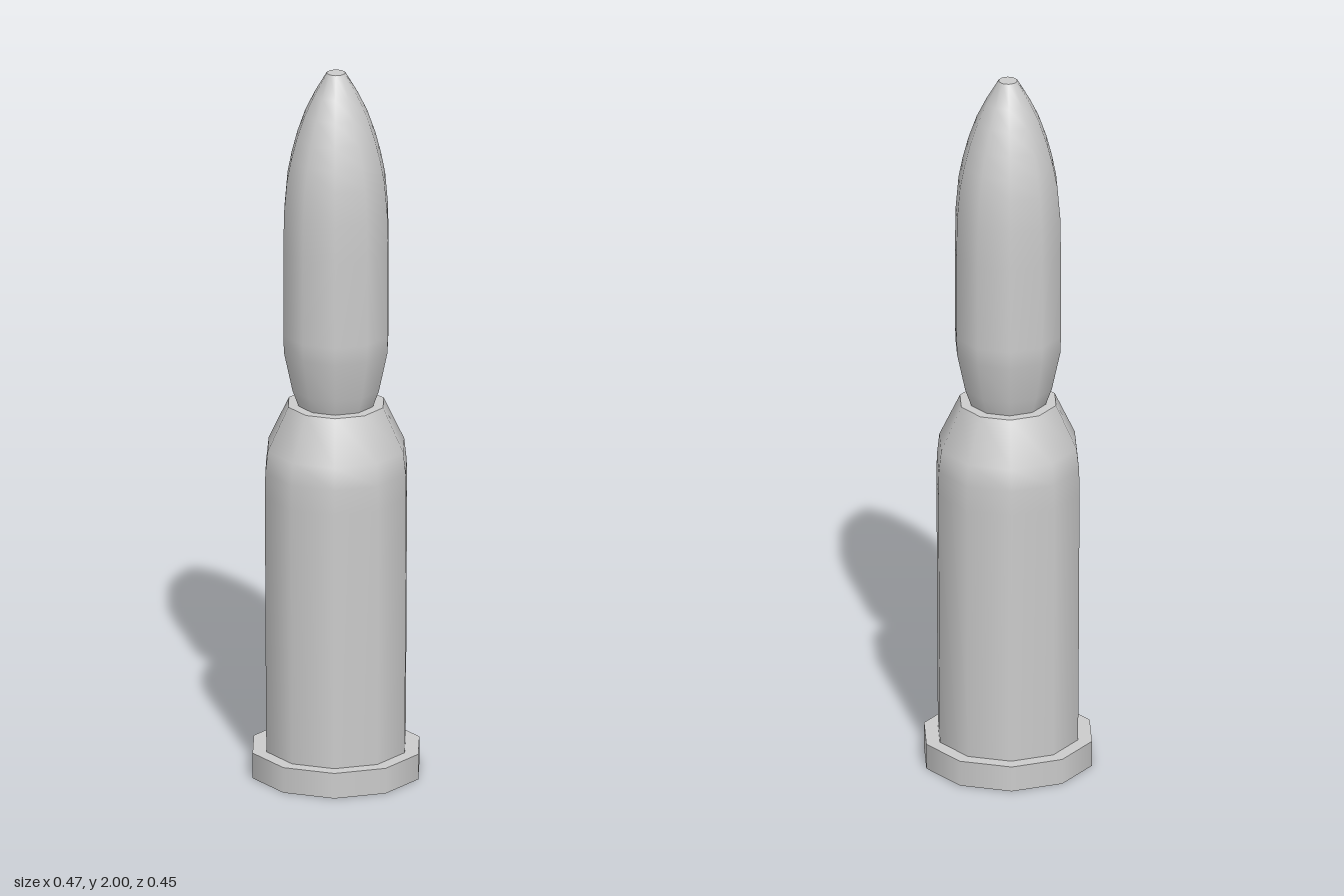
import * as THREE from 'three';

const SIDES = 10;

export function createModel() {
  const group = new THREE.Group();
  const material = new THREE.MeshStandardMaterial({ color: 0xcccccc });

  // Each profile runs upward as [radius, height]; a corner sits on the x axis.
  const turn = (name, profile) => {
    const points = profile.map(([r, y]) => new THREE.Vector2(r, y));
    const mesh = new THREE.Mesh(new THREE.LatheGeometry(points, SIDES, Math.PI / 2), material);
    mesh.name = name;
    group.add(mesh);
  };

  // Rim: flat underside, wall and upper ledge, kept apart for sharp edges
  turn('rimBase', [[0, 0], [0.236, 0]]);
  turn('rimWall', [[0.236, 0], [0.236, 0.072]]);
  turn('rimLedge', [[0.236, 0.072], [0.19, 0.072]]);

  // Case with a sloping shoulder and a flat mouth
  turn('caseBody', [
    [0.197, 0.072], [0.199, 0.36], [0.201, 0.8], [0.2, 0.87], [0.193, 0.932], [0.135, 1.054],
  ]);
  turn('caseMouth', [[0.135, 1.054], [0.1, 1.054]]);

  // Projectile: tapered tail, straight body, curved nose and blunt tip
  turn('projectile', [
    [0.106, 1.054], [0.123, 1.1], [0.147, 1.21], [0.149, 1.26], [0.149, 1.5], [0.147, 1.61],
    [0.139, 1.7], [0.127, 1.76], [0.111, 1.82], [0.088, 1.885], [0.061, 1.94], [0.026, 2],
  ]);
  turn('projectileTip', [[0.026, 2], [0, 2]]);

  return group;
}
